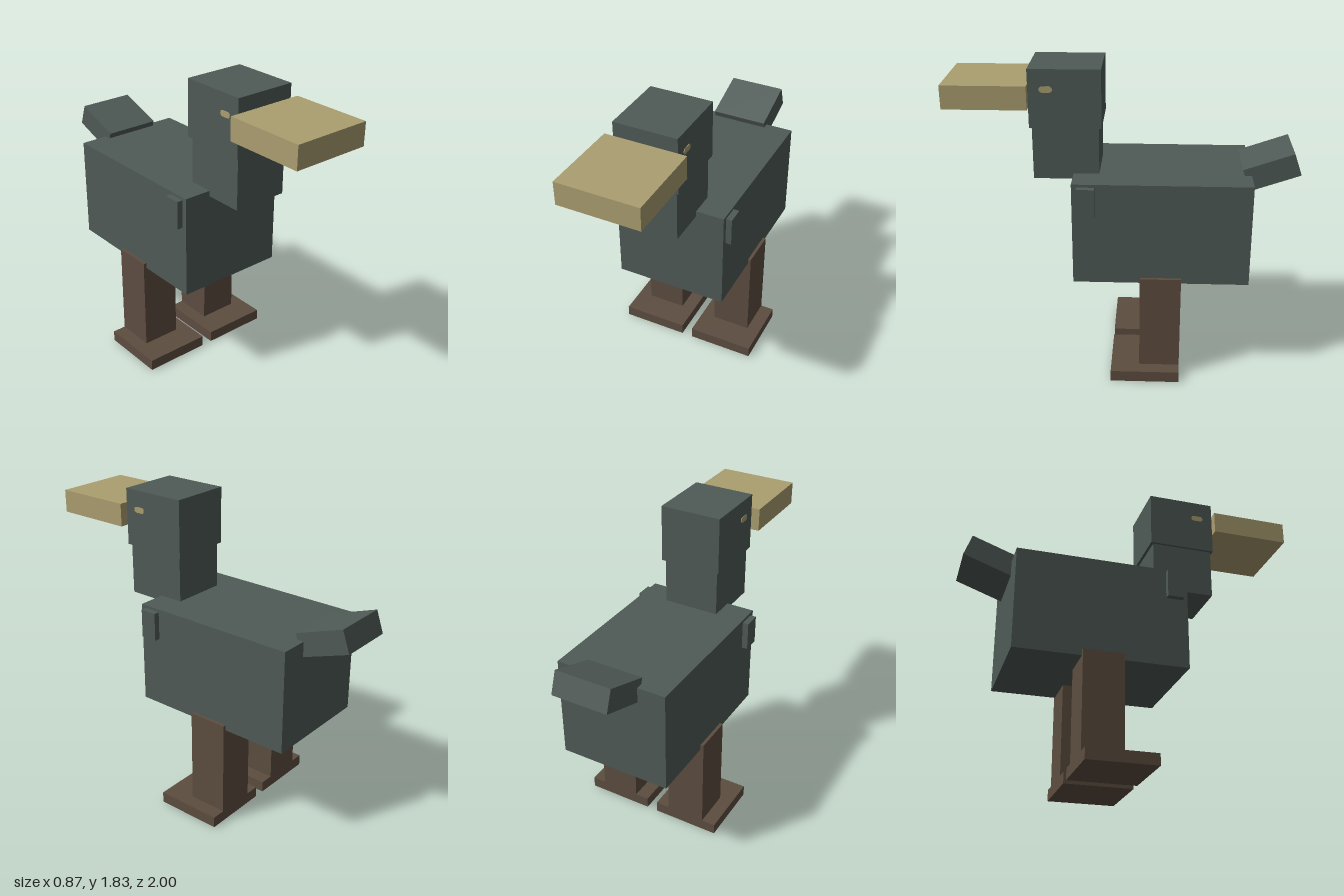
import * as THREE from 'three';

const plumage = new THREE.MeshStandardMaterial({ color: 0x4f5a56 });
plumage.name = 'slatePlumage';
const billTan = new THREE.MeshStandardMaterial({ color: 0xab9e70 });
billTan.name = 'billTan';
const legBrown = new THREE.MeshStandardMaterial({ color: 0x5d4d40 });
legBrown.name = 'legBrown';

// Box given by its lower and upper limits on each axis
function block(name, material, [x0, x1], [y0, y1], [z0, z1]) {
  const mesh = new THREE.Mesh(new THREE.BoxGeometry(x1 - x0, y1 - y0, z1 - z0), material);
  mesh.position.set((x0 + x1) / 2, (y0 + y1) / 2, (z0 + z1) / 2);
  mesh.name = name;
  return mesh;
}

// Thin pill-shaped plate, lying in the xy plane
function pillGeometry(length, height, depth) {
  const r = height / 2, h = length / 2 - r;
  const shape = new THREE.Shape();
  shape.absarc(h, 0, r, -Math.PI / 2, Math.PI / 2);
  shape.absarc(-h, 0, r, Math.PI / 2, Math.PI * 1.5);
  return new THREE.ExtrudeGeometry(shape, { depth, bevelEnabled: false, curveSegments: 6 });
}

export function createModel() {
  const model = new THREE.Group();
  model.name = 'blockyBird';

  model.add(
    block('body', plumage, [-0.335, 0.335], [0.612, 1.22], [-0.723, 0.287]),
    block('neck', plumage, [-0.168, 0.168], [1.187, 1.492], [0.14, 0.514]),
    block('head', plumage, [-0.184, 0.184], [1.492, 1.828], [0.123, 0.527]),
    block('bill', billTan, [-0.235, 0.235], [1.61, 1.745], [0.527, 1])
  );

  // Upturned tail
  const tail = new THREE.Mesh(new THREE.BoxGeometry(0.336, 0.135, 0.302), plumage);
  tail.name = 'tail';
  tail.position.set(0, 1.241, -0.835);
  tail.rotation.x = 0.34;
  model.add(tail);

  // Paired parts
  for (const [side, s] of [['left', 1], ['right', -1]]) {
    const span = (a, b) => (s > 0 ? [a, b] : [-b, -a]);
    model.add(
      block(side + 'Wing', plumage, span(0.3, 0.37), [1.035, 1.203], [0.157, 0.257]),
      block(side + 'Leg', legBrown, span(0.118, 0.354), [0.067, 0.645], [-0.335, -0.098]),
      block(side + 'Foot', legBrown, span(0.034, 0.437), [0, 0.067], [-0.335, 0.069])
    );
    const eye = new THREE.Mesh(pillGeometry(0.074, 0.034, 0.004), billTan);
    eye.name = side + 'Eye';
    eye.position.set(s * 0.183, 1.714, 0.428);
    eye.rotation.y = s * Math.PI / 2;
    model.add(eye);
  }
  return model;
}
